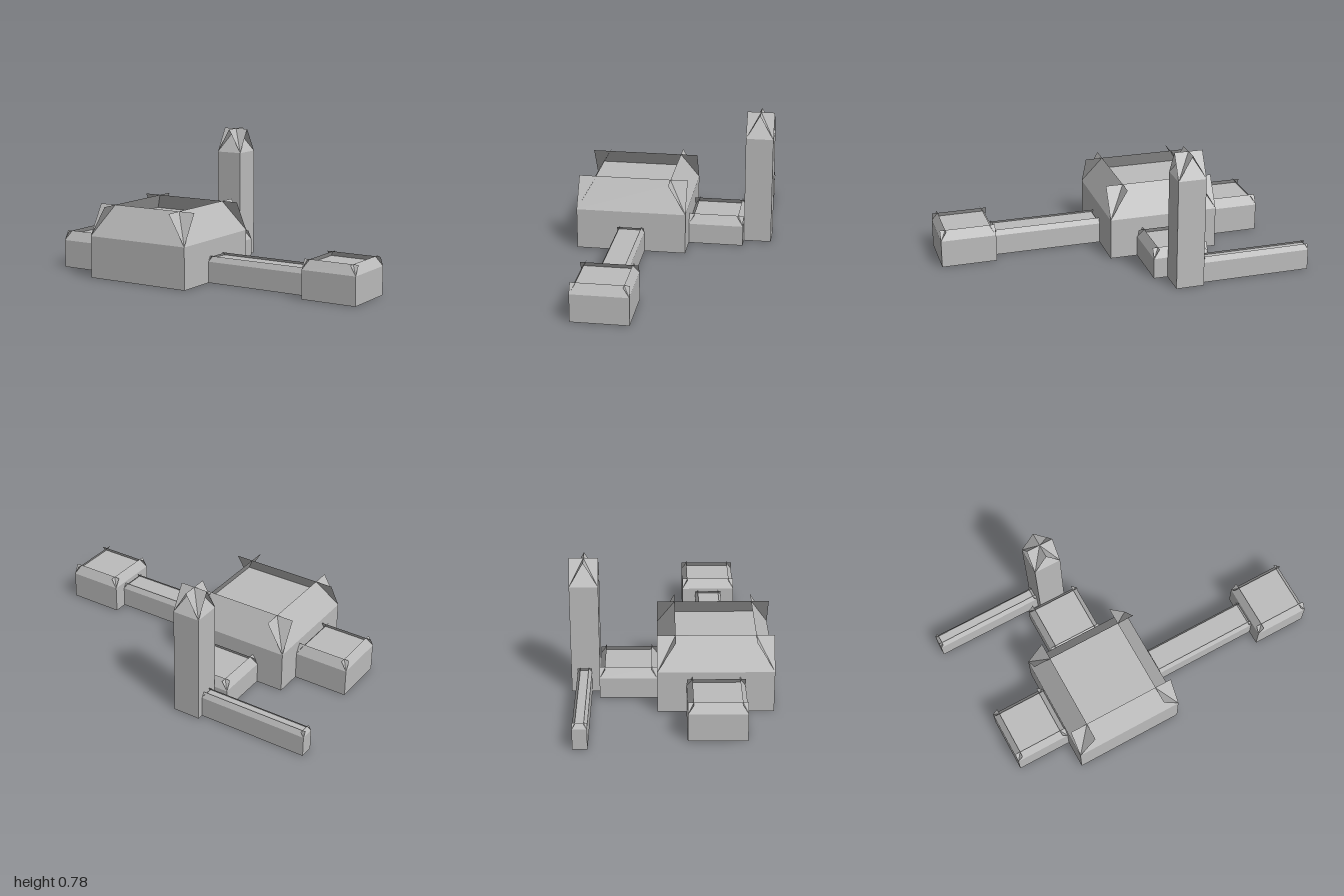
import * as THREE from 'three';

const stone = new THREE.MeshStandardMaterial({ color: 0xbcbcbc, side: THREE.DoubleSide });
stone.name = 'pale grey stone';

// Flat sheet from four corners, counter-clockwise seen from its front
function sheet(name, a, b, c, d) {
  const geo = new THREE.BufferGeometry();
  geo.setAttribute('position', new THREE.Float32BufferAttribute([a, b, c, a, c, d].flat(), 3));
  geo.computeVertexNormals();
  const mesh = new THREE.Mesh(geo, stone);
  mesh.name = name;
  return mesh;
}

// Block with four full-width roof slopes that cross at the corners and form horns
function block({ name, x0, x1, z0, z1, wall, top }) {
  const group = new THREE.Group();
  group.name = name;
  const w = x1 - x0, d = z1 - z0, rise = top - wall;
  const inset = Math.min(rise / Math.tan(Math.PI / 3), w / 2, d / 2);

  const walls = new THREE.Mesh(new THREE.BoxGeometry(w, wall, d), stone);
  walls.name = 'walls';
  walls.position.y = wall / 2;
  group.add(walls);

  // One slope per side, leaning inwards at sixty degrees
  for (let i = 0; i < 4; i++) {
    const half = (i % 2 ? d : w) / 2;
    const out = (i % 2 ? w : d) / 2;
    const slope = sheet('roofSlope',
      [-half, wall, out], [half, wall, out],
      [half, top, out - inset], [-half, top, out - inset]);
    slope.rotation.y = i * Math.PI / 2;
    group.add(slope);
  }

  // Sunken flat deck held between the slopes
  if (inset < Math.min(w, d) / 2 - 0.005) {
    const y = wall + rise * 0.5;
    const hx = w / 2 - inset * 0.5, hz = d / 2 - inset * 0.5;
    group.add(sheet('roofDeck', [-hx, y, hz], [hx, y, hz], [hx, y, -hz], [-hx, y, -hz]));
  }

  group.position.set((x0 + x1) / 2, 0, (z0 + z1) / 2);
  return group;
}

export function createModel() {
  const model = new THREE.Group();
  model.name = 'building';
  const parts = [
    { name: 'mainHall', x0: -0.6, x1: 0.04, z0: -0.08, z1: 0.56, wall: 0.24, top: 0.415 },
    { name: 'rightPavilion', x0: -0.92, x1: -0.6, z0: 0.08, z1: 0.4, wall: 0.16, top: 0.215 },
    { name: 'leftPavilion', x0: 0.68, x1: 1, z0: 0.08, z1: 0.4, wall: 0.16, top: 0.215 },
    { name: 'leftCorridor', x0: 0.04, x1: 0.68, z0: 0.16, z1: 0.32, wall: 0.12, top: 0.15 },
    { name: 'backPavilion', x0: -0.44, x1: -0.12, z0: -0.4, z1: -0.08, wall: 0.12, top: 0.175 },
    { name: 'tower', x0: -0.36, x1: -0.2, z0: -0.56, z1: -0.4, wall: 0.64, top: 0.78 },
    { name: 'rearWall', x0: -1, x1: -0.36, z0: -0.525, z1: -0.445, wall: 0.12, top: 0.15 },
  ];
  for (const part of parts) model.add(block(part));
  return model;
}
